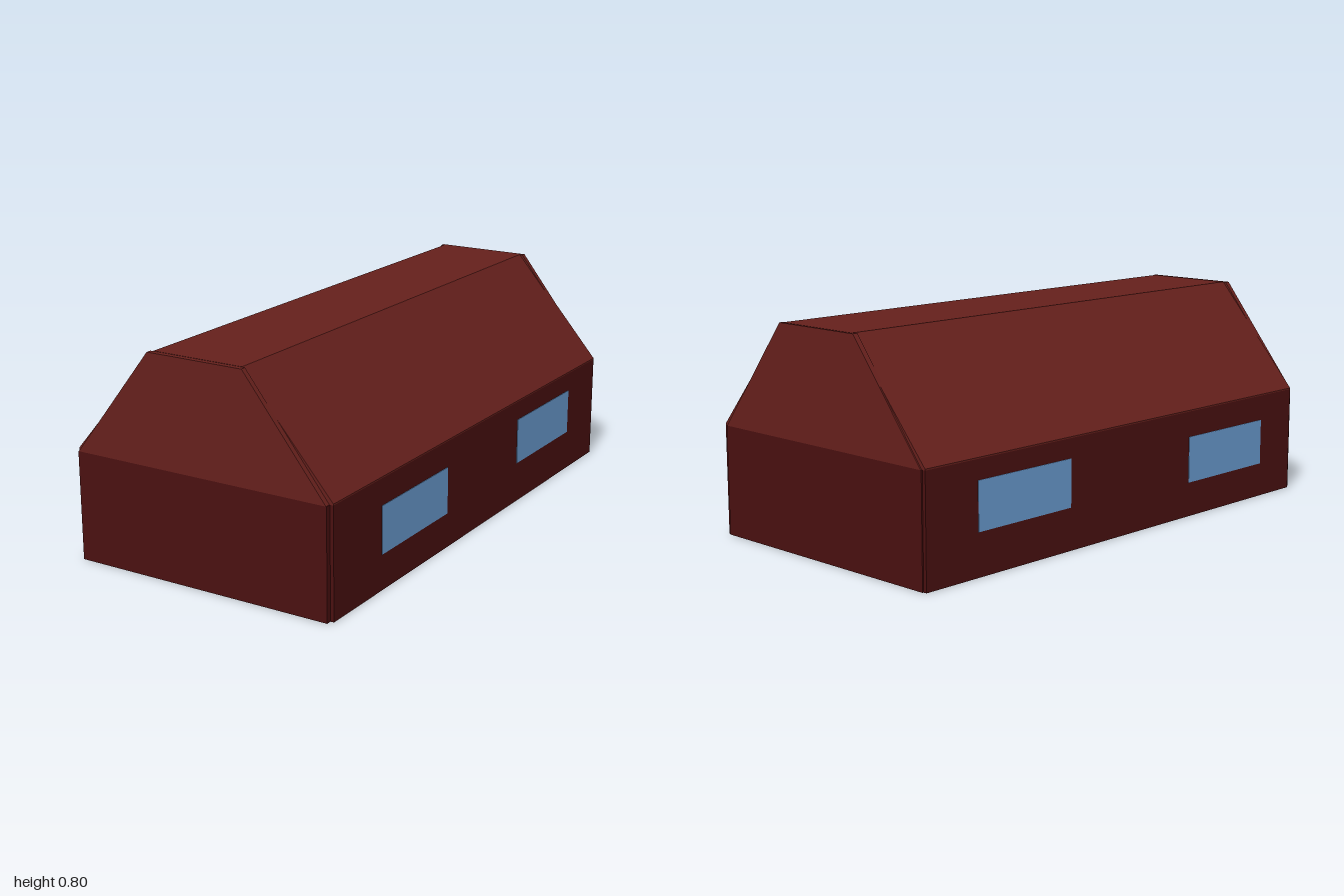
import * as THREE from 'three';

const material = (color) => new THREE.MeshStandardMaterial({ color, flatShading: true });

export function createModel() {
  const model = new THREE.Group();
  const wallRed = material(0x4a1010);
  const roofRed = material(0x66201c);
  const glass = material(0x6a9cd2);

  const add = (name, geometry, mat) => {
    const mesh = new THREE.Mesh(geometry, mat);
    mesh.name = name;
    model.add(mesh);
    return mesh;
  };

  // Box given by its limits on each axis
  const box = (name, mat, [x0, x1], [y0, y1], [z0, z1]) =>
    add(name, new THREE.BoxGeometry(x1 - x0, y1 - y0, z1 - z0), mat)
      .position.set((x0 + x1) / 2, (y0 + y1) / 2, (z0 + z1) / 2);

  // Outline in the xy plane, extruded from z0 to z1
  const prism = (name, mat, points, z0, z1) => {
    const shape = new THREE.Shape(points.map(([x, y]) => new THREE.Vector2(x, y)));
    const geometry = new THREE.ExtrudeGeometry(shape, { depth: z1 - z0, bevelEnabled: false });
    add(name, geometry, mat).position.z = z0;
  };

  // Floor and long walls
  box('floor', wallRed, [-0.505, 0.505], [0, 0.02], [-0.985, 0.985]);
  for (const [side, s] of [['left', 1], ['right', -1]]) {
    const xs = [s * 0.505, s * 0.52].sort((a, b) => a - b);
    box(side + 'Wall', wallRed, xs, [0, 0.4], [-0.995, 0.98]);
  }

  // End walls with the gables above them
  const gable = [[-0.505, 0.4], [0.505, 0.4], [0.19, 0.8], [-0.19, 0.8]];
  for (const [end, z0, z1] of [['front', 0.98, 1], ['back', -1, -0.98]]) {
    box(end + 'Wall', wallRed, [-0.507, 0.507], [0, 0.4], [z0, z1]);
    prism(end + 'Gable', roofRed, gable, z0, z1);
  }

  // Roof: two slopes and a flat top
  const roof = [[-0.52, 0.4], [0.52, 0.4], [0.52, 0.405], [0.178, 0.801], [-0.178, 0.801], [-0.52, 0.405]];
  prism('roof', roofRed, roof, -0.995, 0.98);

  // Windows: side, centre y, centre z
  for (const [s, y, z] of [[1, 0.217, 0.46], [1, 0.242, -0.532], [-1, 0.217, 0.562], [-1, 0.242, -0.538]]) {
    box('window', glass, [s * 0.52 - 0.002, s * 0.52 + 0.002], [y - 0.087, y + 0.087], [z - 0.224, z + 0.224]);
  }

  return model;
}
